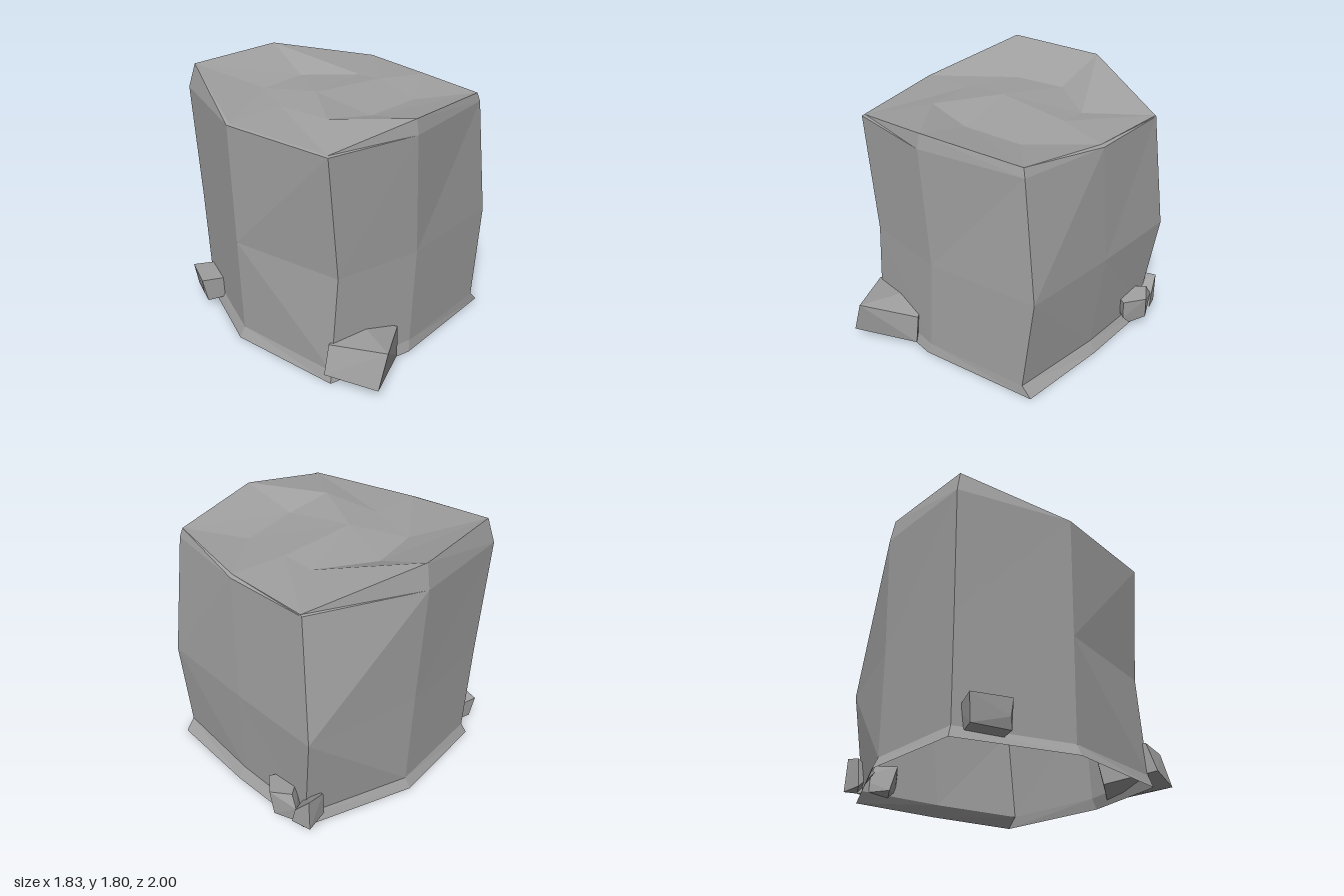
import * as THREE from 'three';
import { ConvexGeometry } from 'three/addons/geometries/ConvexGeometry.js';

const stone = new THREE.MeshStandardMaterial({ color: 0xa0a0a0, flatShading: true, side: THREE.DoubleSide });
stone.name = 'grey stone';

// Each ring runs front, front left, left, back left, back, back right, right, front right
const wallRings = [
  [[0, 0, 0.72], [0.83, 0, 0.52], [0.83, 0, -0.14], [0.78, 0, -0.77], [0, 0, -1], [-0.74, 0, -0.89], [-0.88, 0, -0.1], [-0.63, 0, 0.68]],
  [[0.02, 0.08, 0.7], [0.76, 0.08, 0.53], [0.78, 0.08, -0.14], [0.74, 0.08, -0.75], [0.01, 0.08, -0.96], [-0.71, 0.08, -0.86], [-0.84, 0.08, -0.1], [-0.61, 0.08, 0.66]],
  [[0.06, 0.78, 0.69], [0.83, 0.78, 0.51], [0.82, 0.78, -0.19], [0.79, 0.78, -0.84], [0, 0.78, -0.97], [-0.72, 0.78, -0.87], [-0.85, 0.78, -0.1], [-0.55, 0.78, 0.66]],
  [[0.01, 1.63, 0.71], [0.72, 1.63, 0.5], [0.78, 1.63, -0.13], [0.73, 1.63, -0.72], [0, 1.63, -1], [-0.74, 1.63, -0.89], [-0.86, 1.63, -0.1], [-0.62, 1.63, 0.67]],
];
const rim = [[0.01, 1.73, 0.69], [0.7, 1.69, 0.49], [0.76, 1.645, -0.12], [0.73, 1.64, -0.71], [0, 1.8, -0.97], [-0.7, 1.8, -0.85], [-0.84, 1.635, -0.1], [-0.61, 1.635, 0.65]];
const dip = [[-0.03, 1.63, 0.29], [0.39, 1.62, 0.2], [0.4, 1.66, -0.18], [0.37, 1.64, -0.39], [0, 1.65, -0.6], [-0.35, 1.65, -0.51], [-0.45, 1.655, -0.13], [-0.36, 1.68, 0.28]];
const crown = [-0.15, 1.68, -0.17];

// Skin neighbouring rings with flat triangles; rising chooses the diagonal of each quad
function skin(rings, rising, apex) {
  const out = [];
  const n = rings[0].length;
  for (let r = 0; r + 1 < rings.length; r++) {
    for (let i = 0; i < n; i++) {
      const j = (i + 1) % n;
      const a = rings[r][i], b = rings[r][j], c = rings[r + 1][j], d = rings[r + 1][i];
      out.push(...(rising(r) ? [a, b, c, a, c, d] : [a, b, d, b, c, d]));
    }
  }
  if (apex) {
    const last = rings[rings.length - 1];
    for (let i = 0; i < n; i++) out.push(last[i], last[(i + 1) % n], apex);
  }
  const geometry = new THREE.BufferGeometry();
  geometry.setAttribute('position', new THREE.Float32BufferAttribute(out.flat(), 3));
  geometry.computeVertexNormals();
  return geometry;
}

function part(name, geometry) {
  const mesh = new THREE.Mesh(geometry, stone);
  mesh.name = name;
  return mesh;
}

const rock = (name, points) => part(name, new ConvexGeometry(points.map(p => new THREE.Vector3(...p))));

export function createModel() {
  const group = new THREE.Group();
  group.name = 'stoneBlock';

  // Hollow walls, open underneath, and the uneven top
  group.add(part('walls', skin([...wallRings, rim], r => r === 2)));
  group.add(part('top', skin([rim, dip], () => false, crown)));

  // Large rock at the front
  group.add(rock('frontRock', [
    [-0.4, 0.345, 0.99], [-0.48, 0.09, 1], [-0.62, 0.3, 0.65], [-0.68, 0.1, 0.68],
    [-0.1, 0.255, 0.71], [-0.11, 0.03, 0.73], [-0.32, 0.035, 0.76],
    [-0.3, 0.3, 0.48], [-0.35, 0.06, 0.5],
  ]));

  // Small rock at the back right corner
  group.add(rock('backRightRock', [
    [-0.87, 0.23, -0.84], [-0.92, 0.23, -0.59], [-0.85, 0.06, -0.82], [-0.89, 0.05, -0.58],
    [-0.91, 0.12, -0.6], [-0.66, 0.21, -0.79], [-0.68, 0.21, -0.54], [-0.66, 0.06, -0.77], [-0.68, 0.05, -0.54],
  ]));

  // Notched rock at the back left corner, made of two lobes
  group.add(rock('backLeftRock', [
    [0.91, 0.28, -0.59], [0.9, 0.1, -0.62], [0.81, 0.26, -0.46], [0.81, 0.12, -0.47],
    [0.83, 0.06, -0.52], [0.82, 0.29, -0.71], [0.83, 0.2, -0.76], [0.82, 0.08, -0.76],
    [0.62, 0.26, -0.55], [0.62, 0.08, -0.6],
  ]));
  group.add(rock('backLeftRockLobe', [
    [0.8, 0.31, -0.85], [0.8, 0.07, -0.86], [0.84, 0.2, -0.76], [0.85, 0.09, -0.74],
    [0.66, 0.28, -0.83], [0.64, 0.08, -0.82], [0.66, 0.2, -0.7],
  ]));
  return group;
}
